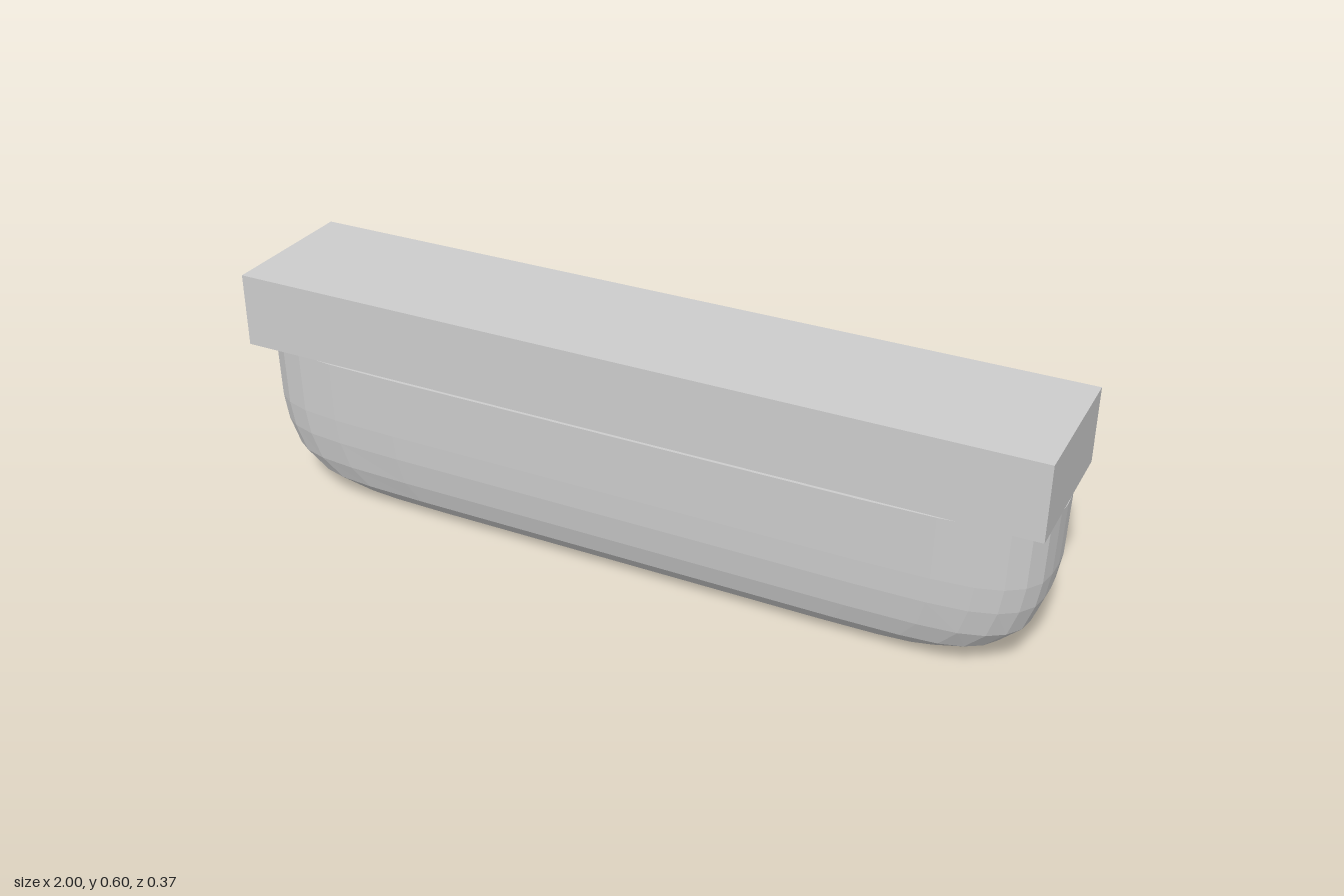
import * as THREE from 'three';

const grey = new THREE.MeshStandardMaterial({ color: 0xcccccc, flatShading: true });
grey.name = 'light grey';

// One quarter of the rounded plan outline, as fractions of half length and half depth
const QUARTER = [
  [1, 0], [0.998, 0.245], [0.99, 0.48], [0.965, 0.68], [0.925, 0.83],
  [0.865, 0.93], [0.77, 0.98], [0.6, 1],
];

// Levels of the tub from rim to keel: height, half length, half depth
const LEVELS = [
  [0.405, 1, 0.184], [0.25, 0.997, 0.183], [0.185, 0.987, 0.18], [0.115, 0.963, 0.17],
  [0.062, 0.91, 0.153], [0.027, 0.83, 0.125], [0.01, 0.73, 0.088], [0.002, 0.65, 0.045], [0, 0.6, 0],
];

// Full outline by mirroring the quarter, running from +x to +z and round
function outline() {
  const back = QUARTER.slice().reverse();
  return [
    ...QUARTER,
    ...back.map(([x, z]) => [-x, z]),
    ...QUARTER.slice(1).map(([x, z]) => [-x, -z]),
    ...back.slice(0, -1).map(([x, z]) => [x, -z]),
  ];
}

// Tub skinned through the levels, closed by a flat top
function tubGeometry() {
  const ring = outline();
  const n = ring.length;
  const positions = [];
  const index = [];
  for (const [y, hx, hz] of LEVELS) {
    for (const [x, z] of ring) positions.push(x * hx, y, z * hz);
  }
  const centre = positions.length / 3;
  positions.push(0, LEVELS[0][0], 0);
  for (let i = 0; i < n; i++) {
    const next = (i + 1) % n;
    index.push(centre, next, i);
    for (let j = 0; j < LEVELS.length - 1; j++) {
      const a = j * n + i, b = j * n + next;
      index.push(a, b, a + n, b, b + n, a + n);
    }
  }
  const indexed = new THREE.BufferGeometry();
  indexed.setAttribute('position', new THREE.Float32BufferAttribute(positions, 3));
  indexed.setIndex(index);
  const geometry = indexed.toNonIndexed();
  geometry.computeVertexNormals();
  return geometry;
}

export function createModel() {
  const model = new THREE.Group();
  model.name = 'roundedTubWithBlock';

  // Square block on top
  const block = new THREE.Mesh(new THREE.BoxGeometry(2, 0.185, 0.368), grey);
  block.name = 'topBlock';
  block.position.y = 0.5025;
  model.add(block);

  // Rounded tub just below the block
  const tub = new THREE.Mesh(tubGeometry(), grey);
  tub.name = 'roundedTub';
  model.add(tub);

  return model;
}
